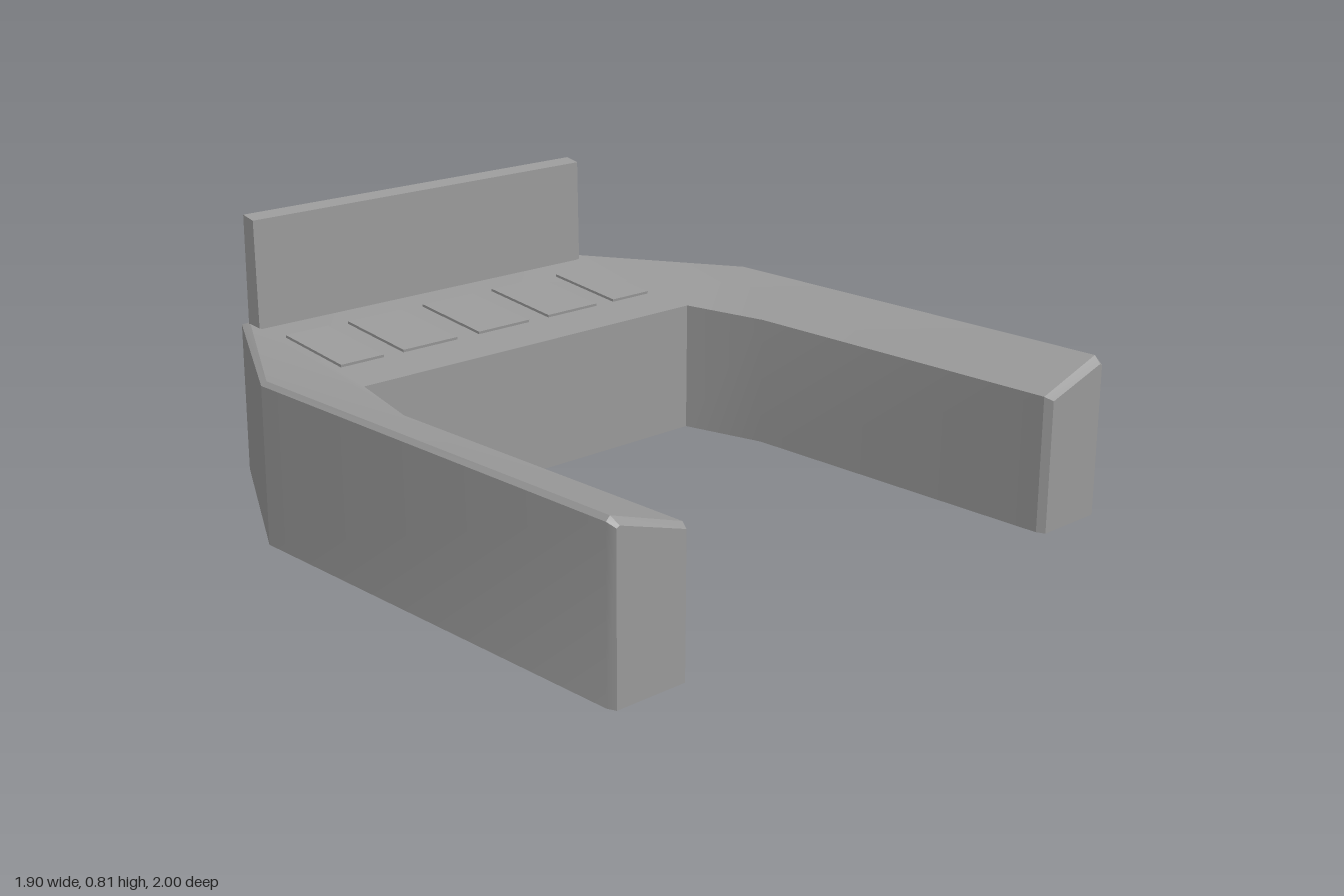
import * as THREE from 'three';
import { toCreasedNormals } from 'three/addons/utils/BufferGeometryUtils.js';

const material = new THREE.MeshStandardMaterial({ color: 0x999999 });

// Skin closed cross-sections (equal point counts) and cap both ends
function loft(sections) {
  const pos = [];
  const n = sections[0].length;
  const tri = (a, b, c) => pos.push(...a, ...b, ...c);
  for (let s = 0; s < sections.length - 1; s++) {
    const A = sections[s], B = sections[s + 1];
    for (let i = 0; i < n; i++) {
      const j = (i + 1) % n;
      tri(A[i], B[i], B[j]);
      tri(A[i], B[j], A[j]);
    }
  }
  const first = sections[0], last = sections[sections.length - 1];
  for (let i = 1; i < n - 1; i++) {
    tri(first[0], first[i], first[i + 1]);
    tri(last[0], last[i + 1], last[i]);
  }
  const geometry = new THREE.BufferGeometry();
  geometry.setAttribute('position', new THREE.Float32BufferAttribute(pos, 3));
  // Blend the gentle bends of the top and inner walls, keep real corners sharp
  return toCreasedNormals(geometry, 0.4);
}

// Section across the desk: outer wall, bevelled ridge, sloping top, inner wall
function section([ox, oz], [rx, rz], [ix, iz], outerY, ridgeY, innerY) {
  return [
    [ox, 0, oz], [ox, outerY, oz], [rx, ridgeY, rz],
    [ix, innerY, iz], [ix, 0, iz],
  ];
}

export function createModel() {
  const model = new THREE.Group();
  model.name = 'controlDesk';
  const add = (geometry, name, parent = model) => {
    const mesh = new THREE.Mesh(geometry, material);
    mesh.name = name;
    parent.add(mesh);
    return mesh;
  };

  // U-shaped desk body, from one arm's tip to the other
  const half = [
    section([0.94, 1], [0.93, 1], [0.717, 1], 0.455, 0.46, 0.395),
    section([0.95, 0.975], [0.938, 0.975], [0.706, 0.975], 0.467, 0.48, 0.405),
    section([0.95, -0.427], [0.938, -0.418], [0.706, -0.107], 0.467, 0.48, 0.405),
    section([0.64, -1], [0.63, -0.97], [0.64, -0.38], 0.463, 0.475, 0.41),
  ];
  const mirrored = half.map((s) => s.map(([x, y, z]) => [-x, y, z])).reverse();
  add(loft([...half, ...mirrored]), 'deskBody');

  // Upright screen along the back, its top edge slanting to the front
  const profile = new THREE.Shape([
    [-0.96, 0.45], [-0.903, 0.45], [-0.91, 0.8], [-0.96, 0.81],
  ].map(([z, y]) => new THREE.Vector2(-z, y)));
  const screen = new THREE.ExtrudeGeometry(profile, { depth: 1.28, bevelEnabled: false });
  screen.translate(0, 0, -0.64).rotateY(Math.PI / 2);
  add(screen, 'backScreen');

  // Row of thin panels lying on the sloping top
  const panels = new THREE.Group();
  panels.name = 'controlPanels';
  model.add(panels);
  const slope = Math.atan2(0.065, 0.59);
  for (const [x, width] of [[-0.535, 0.153], [-0.285, 0.203], [0, 0.2], [0.28, 0.203], [0.53, 0.153]]) {
    const panel = add(new THREE.BoxGeometry(width, 0.03, 0.28), 'controlPanel', panels);
    panel.position.set(x, 0.435, -0.67);
    panel.rotation.x = slope;
  }
  return model;
}
